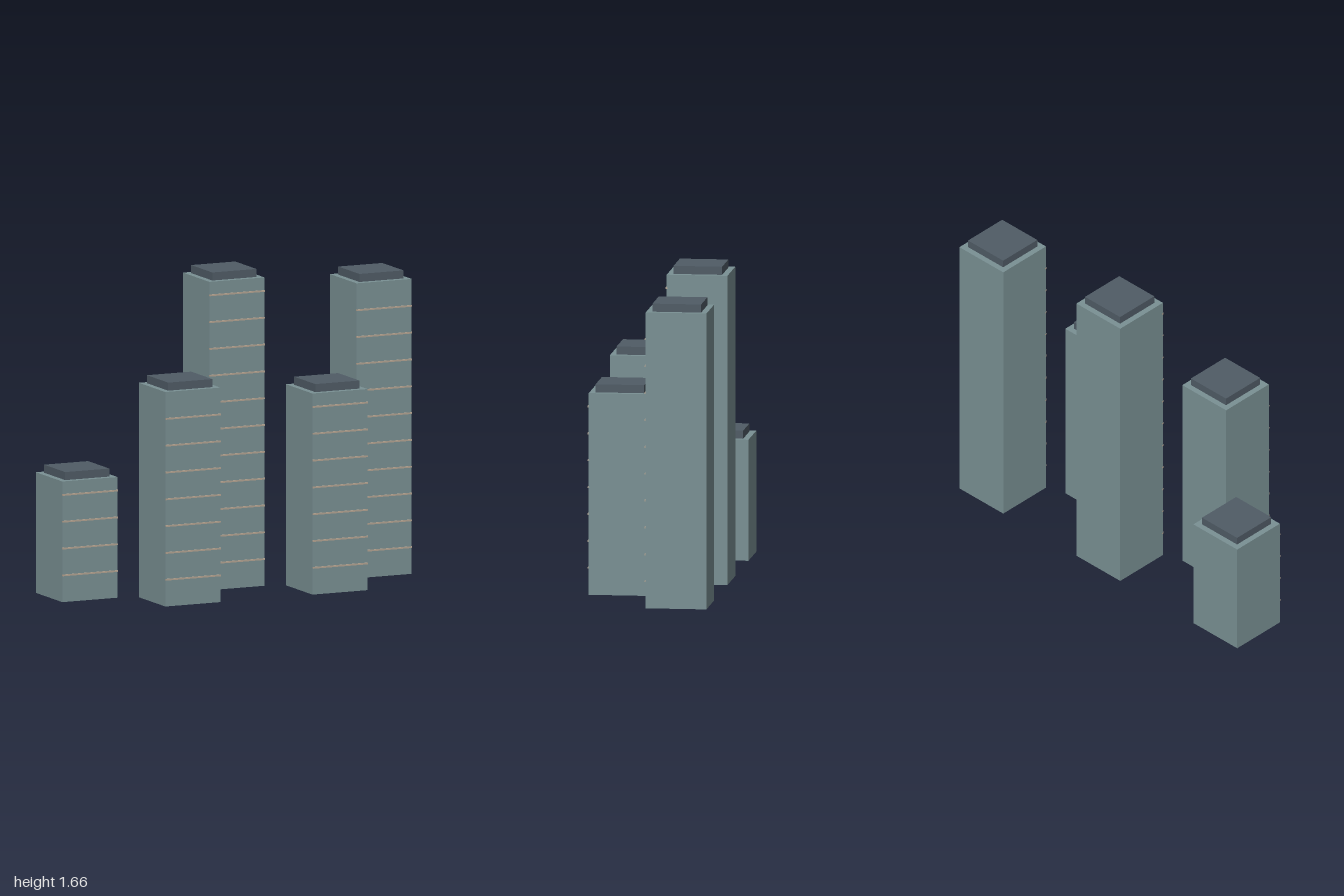
import * as THREE from 'three';

const U = 2 / 57; // one plan unit: five 9-unit towers spaced 12 apart
const WIDTH = 9, CAP_WIDTH = 7.2, CAP_HEIGHT = 1.2;
const BAND_STEP = 4, BAND_HEIGHT = 0.25, BAND_OUT = 0.15;
const HEIGHTS = [18, 32, 46, 30, 44];

const wallMat = new THREE.MeshStandardMaterial({ color: 0x7a9194 });
const roofMat = new THREE.MeshStandardMaterial({ color: 0x505c66 });
const bandMat = new THREE.MeshStandardMaterial({ color: 0xb5a593 });

function box(name, mat, w, h, d, y, z = 0) {
  const mesh = new THREE.Mesh(new THREE.BoxGeometry(w * U, h * U, d * U), mat);
  mesh.name = name;
  mesh.position.set(0, y * U, z * U);
  return mesh;
}

function createTower(height) {
  const tower = new THREE.Group();
  tower.name = 'tower';
  tower.add(box('towerBody', wallMat, WIDTH, height, WIDTH, height / 2));
  tower.add(box('roofCap', roofMat, CAP_WIDTH, CAP_HEIGHT, CAP_WIDTH, height + CAP_HEIGHT / 2));
  // Thin floor bands on the front face only
  for (let y = BAND_STEP; y < height; y += BAND_STEP) {
    tower.add(box('floorBand', bandMat, WIDTH, BAND_HEIGHT, BAND_OUT * 2, y, WIDTH / 2));
  }
  return tower;
}

export function createModel() {
  const model = new THREE.Group();
  model.name = 'towerCluster';
  // Towers alternate between a back row and a front row
  HEIGHTS.forEach((height, i) => {
    const tower = createTower(height);
    const z = (i % 2 ? 5 : -5) - BAND_OUT / 2;
    tower.position.set((i - 2) * 12 * U, 0, z * U);
    model.add(tower);
  });
  return model;
}
